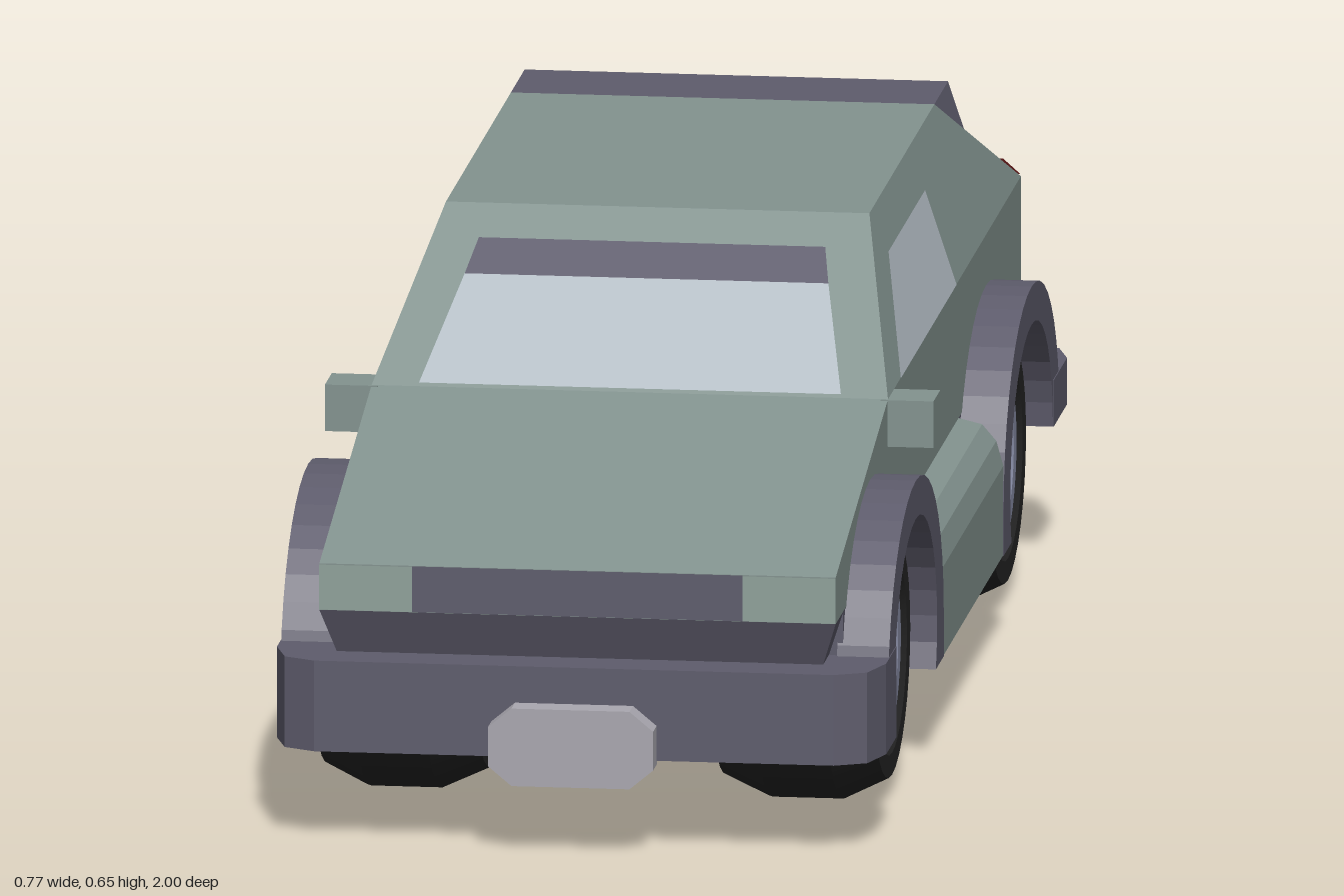
import * as THREE from 'three';

const mat = (color) => new THREE.MeshStandardMaterial({ color, flatShading: true });

export function createModel() {
  const car = new THREE.Group();
  car.name = 'car';
  const paint = mat(0x83938f), trim = mat(0x5e5c6c), glass = mat(0xb3bcc4);
  const lamp = mat(0x8fa19a), red = mat(0xb03434), plate = mat(0xaaa8b0);
  const rubber = mat(0x242424), rim = mat(0x8a8fa8);
  rubber.flatShading = rim.flatShading = false;

  const add = (name, geo, material) => {
    const m = new THREE.Mesh(geo, material);
    m.name = name;
    car.add(m);
    return m;
  };
  const toShape = (pts) => new THREE.Shape(pts.map(([a, b]) => new THREE.Vector2(a, b)));

  // Side profile in (z, y), extruded from x0 to x1
  const sidePrism = (pts, x0, x1) =>
    new THREE.ExtrudeGeometry(toShape(pts), { depth: x1 - x0, bevelEnabled: false })
      .translate(0, 0, -x1).rotateY(-Math.PI / 2);

  // Plan outline in (x, z), extruded from y0 to y1
  const planPrism = (pts, y0, y1) =>
    new THREE.ExtrudeGeometry(toShape(pts.map(([x, z]) => [x, -z])), { depth: y1 - y0, bevelEnabled: false })
      .rotateX(-Math.PI / 2).translate(0, y0, 0);

  // Scale x by a rule of y
  const taper = (geo, rule) => {
    const p = geo.attributes.position;
    for (let i = 0; i < p.count; i++) p.setX(i, p.getX(i) * rule(p.getY(i)));
    geo.computeVertexNormals();
    return geo;
  };

  // Thin four-cornered panel lying just above a surface, counter-clockwise from outside
  const panel = (name, material, corners) => {
    const v = corners.map((c) => new THREE.Vector3(...c));
    const n = v[1].clone().sub(v[0]).cross(v[2].clone().sub(v[0])).normalize().multiplyScalar(0.003);
    const geo = new THREE.BufferGeometry().setFromPoints(v.map((p) => p.add(n)));
    geo.setIndex([0, 1, 2, 0, 2, 3]);
    geo.computeVertexNormals();
    add(name, geo, material);
  };

  // Wedge body and the cabin that narrows towards the roof
  const cabinTaper = (y) => 1 - Math.max(0, y - 0.472) / 0.178 * 0.18;
  add('body', sidePrism([[-0.895, 0.295], [0.93, 0.295], [0.93, 0.355], [0.415, 0.472], [-0.895, 0.472]], -0.328, 0.328), paint);
  add('cabin', taper(sidePrism([[-0.895, 0.472], [0.415, 0.472], [0.14, 0.65], [-0.5, 0.65]], -0.328, 0.328), cabinTaper), paint);
  add('spoiler', taper(sidePrism([[-0.5, 0.65], [-0.635, 0.588], [-0.635, 0.65]], -0.328, 0.328), cabinTaper), trim);

  // Chassis and the slanted skirt under the nose and tail
  add('chassis', sidePrism([[-0.76, 0.12], [0.85, 0.12], [0.85, 0.295], [-0.76, 0.295]], -0.327, 0.327), trim);
  const skirtTaper = (y) => 1 - (0.295 - y) / 0.06 * 0.06;
  add('noseSkirt', taper(sidePrism([[0.8, 0.235], [0.905, 0.235], [0.93, 0.295], [0.8, 0.295]], -0.328, 0.328), skirtTaper), trim);
  add('tailSkirt', sidePrism([[-0.91, 0.235], [-0.75, 0.235], [-0.75, 0.295], [-0.895, 0.295]], -0.328, 0.328), trim);

  // Bumpers with chamfered corners
  const bumper = (z0, z1, s) => {
    const half = [[0.387, z0], [0.387, z1 - s * 0.075], [0.37, z1 - s * 0.02], [0.33, z1]];
    const loop = [...half, ...half.map(([x, z]) => [-x, z]).reverse()];
    return loop;
  };
  add('frontBumper', planPrism(bumper(0.79, 0.965, 1), 0.12, 0.237), trim);
  add('rearBumper', planPrism(bumper(-0.76, -0.967, -1), 0.18, 0.24), trim);

  // Eight-sided plates on the bumpers
  const plateShape = toShape([[-0.105, -0.025], [-0.075, -0.05], [0.075, -0.05], [0.105, -0.025],
    [0.105, 0.025], [0.075, 0.05], [-0.075, 0.05], [-0.105, 0.025]]);
  for (const [name, y, z] of [['frontPlate', 0.14, 0.96], ['rearPlate', 0.2, -1]]) {
    add(name, new THREE.ExtrudeGeometry(plateShape, { depth: 0.04, bevelEnabled: false }).translate(0, y, z), plate);
  }

  // Grille and rear panel
  panel('grille', trim, [[-0.21, 0.296, 0.93], [0.21, 0.296, 0.93], [0.21, 0.355, 0.93], [-0.21, 0.355, 0.93]]);
  panel('rearPanel', trim, [[0.185, 0.296, -0.895], [-0.185, 0.296, -0.895], [-0.185, 0.41, -0.895], [0.185, 0.41, -0.895]]);

  // Windscreen with a dark strip along its top
  const screenZ = (y) => 0.415 - (y - 0.472) / 0.178 * 0.275;
  const screen = (name, m, y0, y1, w0, w1) => panel(name, m, [[-w0, y0, screenZ(y0)], [w0, y0, screenZ(y0)],
    [w1, y1, screenZ(y1)], [-w1, y1, screenZ(y1)]]);
  screen('windscreen', glass, 0.474, 0.58, 0.268, 0.231);
  screen('sunStrip', trim, 0.58, 0.615, 0.231, 0.22);

  // Wheel arch: elliptical ring around a wheel, legs cut at given heights
  const arch = (cz, frontY, rearY) => {
    const arc = (a, b, outer) => {
      const a0 = outer ? 0 : Math.asin((frontY - 0.18) / b);
      const a1 = outer ? Math.PI : Math.PI - Math.asin((rearY - 0.18) / b);
      return Array.from({ length: 21 }, (_, i) => {
        const t = a0 + (a1 - a0) * i / 20;
        return [cz + a * Math.cos(t), 0.18 + b * Math.sin(t)];
      });
    };
    return [[cz + 0.275, frontY], ...arc(0.275, 0.227, true), [cz - 0.275, rearY], ...arc(0.21, 0.178, false).reverse()];
  };

  // Wheel profiles in (radius, distance from the centre line)
  const lathe = (pts) => new THREE.LatheGeometry(pts.map(([r, x]) => new THREE.Vector2(r, x)), 32);
  const tyreParts = [[[0, 0.15], [0.178, 0.15]], [[0.178, 0.15], [0.21, 0.21]], [[0.21, 0.21], [0.21, 0.3]],
    [[0.21, 0.3], [0.178, 0.356]], [[0.178, 0.356], [0.145, 0.356]], [[0.145, 0.356], [0.13, 0.346]]];
  const rimParts = [[[0.132, 0.35], [0.105, 0.35]], [[0.105, 0.35], [0.085, 0.335]],
    [[0.085, 0.335], [0.066, 0.335]], [[0.066, 0.335], [0.062, 0.346]], [[0.062, 0.346], [0, 0.346]]];

  for (const s of [1, -1]) {
    const side = s > 0 ? 'left' : 'right';
    const span = (a, b) => (s > 0 ? [a, b] : [-b, -a]);
    const flip = (pts) => (s > 0 ? pts : [...pts].reverse());
    const name = (part) => side + part;

    add(name('FrontArch'), sidePrism(arch(0.59, 0.121, 0.12), ...span(0.32, 0.386)), trim);
    add(name('RearArch'), sidePrism(arch(-0.55, 0.12, 0.181), ...span(0.32, 0.386)), trim);

    // Rounded sill between the arches
    const sill = toShape([[0.32, 0.12], [0.385, 0.12], [0.385, 0.235], [0.376, 0.267], [0.358, 0.288], [0.32, 0.297]]
      .map(([x, y]) => [s * x, y]));
    add(name('Sill'), new THREE.ExtrudeGeometry(sill, { depth: 0.6, bevelEnabled: false }).translate(0, 0, -0.28), paint);

    add(name('Mirror'), new THREE.BoxGeometry(0.067, 0.06, 0.067).translate(s * 0.353, 0.442, 0.387), paint);

    // Window on the leaning cabin side
    const wx = (y) => s * 0.328 * cabinTaper(y);
    panel(name('Window'), glass, flip([[-0.245, 0.474], [0.305, 0.474], [0.115, 0.595], [-0.245, 0.595]]
      .map(([z, y]) => [wx(y), y, z])).reverse());

    // Headlamp and tail lamp
    panel(name('Headlamp'), lamp, flip([[s * 0.21, 0.296, 0.93], [s * 0.328, 0.296, 0.93],
      [s * 0.328, 0.354, 0.93], [s * 0.21, 0.354, 0.93]]));
    const slopeY = (z) => 0.472 + (z + 0.895) / 0.395 * 0.178;
    panel(name('TailLamp'), red, flip([[s * 0.265, slopeY(-0.81), -0.81], [s * 0.265, slopeY(-0.895), -0.895],
      [s * 0.327, slopeY(-0.895), -0.895], [s * 0.316, slopeY(-0.81), -0.81]]).reverse());

    // Wheels, slightly flattened in height
    for (const [end, z] of [['Front', 0.59], ['Rear', -0.55]]) {
      const wheel = new THREE.Group();
      wheel.name = name(end + 'Wheel');
      for (const [part, list, m] of [['tyre', tyreParts, rubber], ['rim', rimParts, rim]]) {
        for (const seg of list) {
          const mesh = new THREE.Mesh(lathe(seg).rotateZ(-Math.PI / 2), m);
          mesh.name = part;
          wheel.add(mesh);
        }
      }
      wheel.rotation.y = s > 0 ? 0 : Math.PI;
      wheel.scale.y = 0.85;
      wheel.position.set(0, 0.1785, z);
      car.add(wheel);
    }
  }

  // Thin panels show from both sides
  for (const m of [glass, lamp, red, trim]) m.side = THREE.DoubleSide;
  return car;
}
